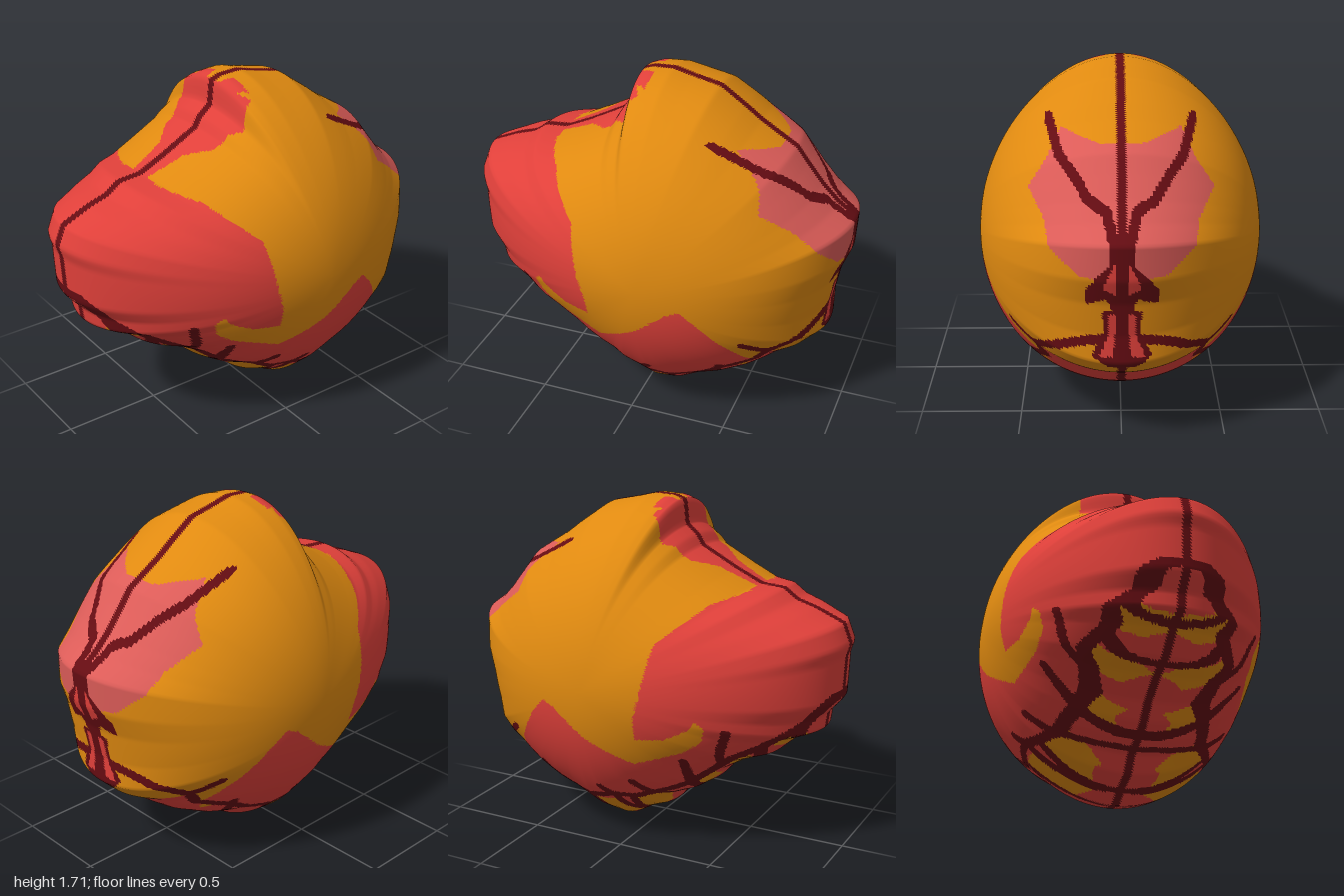
import * as THREE from 'three';

const DEPTH = 0.71, CX = 0.1, CY = 0.85, COLS = 420, ROWS = 160;

// Body outline in the x-y plane, clockwise from the left tip
const OUTLINE = [
  [-1, 1.06], [-0.96, 1.16], [-0.82, 1.22], [-0.72, 1.25], [-0.65, 1.3], [-0.53, 1.31], [-0.4, 1.37],
  [-0.21, 1.47], [-0.18, 1.52], [-0.12, 1.57], [-0.11, 1.69], [-0.06, 1.71], [0.05, 1.715], [0.15, 1.69],
  [0.29, 1.66], [0.42, 1.57], [0.5, 1.51], [0.68, 1.4], [0.74, 1.32], [0.82, 1.22], [0.9, 1.14], [1, 1.07],
  [0.99, 0.9], [0.94, 0.77], [0.91, 0.6], [0.91, 0.46], [0.83, 0.38], [0.75, 0.34], [0.68, 0.28],
  [0.6, 0.22], [0.47, 0.15], [0.35, 0.11], [0.22, 0.02], [0.1, 0], [0, 0.06], [-0.1, 0.1], [-0.16, 0.18],
  [-0.26, 0.22], [-0.35, 0.28], [-0.42, 0.36], [-0.55, 0.44], [-0.67, 0.48], [-0.78, 0.58], [-0.89, 0.62],
  [-0.9, 0.7], [-0.97, 0.78], [-0.98, 1],
];

// Patches and strokes seen along z (x, y)
const RED_FLANK = [
  [-0.54, 1.4], [-0.53, 1.3], [-0.43, 1.27], [-0.25, 1.11], [-0.23, 1], [-0.2, 0.85], [-0.17, 0.75], [-0.165, 0.64],
  [-0.3, 0.65], [-0.4, 0.7], [-0.45, 0.75], [-0.485, 0.72], [-0.46, 0.64], [-0.36, 0.57], [-0.13, 0.49],
  [0, 0.56], [0.1, 0.62], [0.25, 0.75], [0.32, 0.78], [0.4, 0.7], [0.55, 0.5], [0.61, 0.38], [0.69, 0.46],
  [0.82, 0.38], [0.75, 0.1], [0, -0.1], [-1.1, 0.2], [-1.1, 1.4],
];
const ORANGE_CELLS = [
  [[0.05, 0.22], [0.21, 0.2], [0.12, 0.04], [0.04, 0.05]],
  [[-0.18, 0.26], [-0.04, 0.23], [0, 0.08], [-0.11, 0.13]],
  [[-0.4, 0.39], [-0.32, 0.33], [-0.28, 0.24], [-0.38, 0.32]],
  [[-0.62, 0.55], [-0.5, 0.5], [-0.48, 0.41], [-0.6, 0.46]],
  [[-0.85, 0.68], [-0.7, 0.58], [-0.72, 0.54], [-0.86, 0.61]],
  [[0.42, 0.31], [0.46, 0.33], [0.41, 0.16], [0.36, 0.14]],
  [[0.53, 0.35], [0.6, 0.37], [0.56, 0.3]],
];
const FRONT_STROKES = [
  [[-0.97, 0.82], [-0.85, 0.69], [-0.68, 0.58], [-0.55, 0.52], [-0.4, 0.4], [-0.3, 0.33], [-0.18, 0.28], [-0.05, 0.25],
    [0.05, 0.26], [0.2, 0.22], [0.32, 0.24], [0.45, 0.33], [0.62, 0.38], [0.69, 0.47]],
  [[0.59, 0.55], [0.69, 0.47], [0.82, 0.52], [0.91, 0.59]],
  [[-0.57, 0.69], [-0.53, 0.6], [-0.48, 0.47]],
  [[-0.35, 0.51], [-0.31, 0.33], [-0.28, 0.23]],
  [[-0.08, 0.36], [-0.12, 0.28], [-0.2, 0.2]],
  [[0.1, 0.31], [0.05, 0.26], [0.02, 0.06]],
  [[-0.03, 0.22], [0.02, 0.06]],
  [[0.2, 0.22], [0.13, 0.02]],
  [[0.46, 0.36], [0.42, 0.25], [0.37, 0.14]],
  [[-0.67, 0.57], [-0.62, 0.47]],
  [[-0.85, 0.68], [-0.8, 0.58]],
];
// Patches and strokes on the right end (|z|, y)
const PINK_CAP = [
  [-0.1, 1.44], [0.1, 1.43], [0.28, 1.47], [0.31, 1.42], [0.34, 1.36], [0.43, 1.23], [0.35, 1.12], [0.33, 1.03],
  [0.2, 0.92], [-0.1, 0.87],
];
const BROW = [[0.34, 1.49], [0.29, 1.38], [0.22, 1.31], [0.15, 1.22], [0.07, 1.18], [0.03, 1.06]];
const DARK_CREST = [
  [-0.1, 1.1], [0.03, 1.1], [0.055, 1.05], [0.06, 0.97], [0.12, 0.91], [0.17, 0.84], [0.16, 0.77], [0.07, 0.8],
  [0.05, 0.74], [0.09, 0.73], [0.085, 0.62], [0.14, 0.5], [0.06, 0.43], [-0.1, 0.43],
];
const RED_CREST = [
  [[0.025, 1], [0.045, 0.96], [0.09, 0.86], [0.025, 0.82]],
  [[0.025, 0.72], [0.06, 0.72], [0.065, 0.6], [0.11, 0.49], [0.04, 0.5]],
];
// Patch around the notch on top (x, |z|)
const RED_NOTCH = [
  [-0.53, -0.1], [-0.53, 0.06], [-0.35, 0.1], [-0.25, 0.2], [-0.17, 0.22], [-0.12, 0.27], [-0.05, 0.24], [-0.08, 0.17],
  [-0.03, 0.2], [-0.03, 0.07], [-0.1, 0.05], [-0.1, -0.1],
];

function inside(poly, x, y) {
  let hit = false;
  poly.forEach(([ax, ay], i) => {
    const [bx, by] = poly[(i + 1) % poly.length];
    if ((ay > y) !== (by > y) && x < ax + ((y - ay) / (by - ay)) * (bx - ax)) hit = !hit;
  });
  return hit;
}

function onStroke(path, x, y, halfWidth) {
  for (let i = 0; i < path.length - 1; i++) {
    const [ax, ay] = path[i], dx = path[i + 1][0] - ax, dy = path[i + 1][1] - ay;
    const t = THREE.MathUtils.clamp(((x - ax) * dx + (y - ay) * dy) / (dx * dx + dy * dy), 0, 1);
    if (Math.hypot(x - ax - t * dx, y - ay - t * dy) < halfWidth) return true;
  }
  return false;
}

// Distance from the centre to the outline along one direction
function outlineRadius(angle) {
  const c = Math.cos(angle), s = Math.sin(angle);
  let best = 0;
  OUTLINE.forEach(([px, py], i) => {
    const q = OUTLINE[(i + 1) % OUTLINE.length];
    const ax = px - CX, ay = py - CY, dx = q[0] - px, dy = q[1] - py;
    const det = c * dy - s * dx;
    if (Math.abs(det) < 1e-9) return;
    const r = (ax * dy - ay * dx) / det, t = (ax * s - ay * c) / det;
    if (r > 0 && t >= -1e-6 && t <= 1 + 1e-6) best = Math.max(best, r);
  });
  return best;
}

// Colour index: 0 orange, 1 red, 2 pink, 3 dark red
function colourAt(x, y, z) {
  const d = Math.abs(z);
  if (d < 0.02) return 3;
  if (x > 0.3) {
    if (x > 0.8 && RED_CREST.some((p) => inside(p, d, y))) return 1;
    if (x > 0.8 && inside(DARK_CREST, d, y)) return 3;
    if (onStroke(BROW, d, y, 0.023)) return 3;
    if (inside(PINK_CAP, d, y)) return 2;
  }
  if (y < 0.85 && FRONT_STROKES.some((p) => onStroke(p, x, y, 0.019))) return 3;
  if (y < 0.85 && ORANGE_CELLS.some((p) => inside(p, x, y))) return 0;
  if (y > 1.25 && inside(RED_NOTCH, x, d)) return 1;
  return inside(RED_FLANK, x, y) ? 1 : 0;
}

// Inflated body: the rim follows the outline and softens towards the middle
function bodyGeometry() {
  const rim = [], soft = [];
  for (let j = 0; j < COLS; j++) rim.push(outlineRadius((j / COLS) * Math.PI * 2));
  for (let j = 0; j < COLS; j++) {
    let sum = 0, weight = 0;
    for (let k = -60; k <= 60; k++) {
      const w = Math.exp(-((k / 24) ** 2) / 2);
      sum += w * rim[(j + k + COLS) % COLS];
      weight += w;
    }
    soft.push(sum / weight);
  }
  const pos = [];
  for (let i = 0; i <= ROWS; i++) {
    const phi = (i / ROWS - 0.5) * Math.PI, s = Math.cos(phi);
    for (let j = 0; j < COLS; j++) {
      const a = (j / COLS) * Math.PI * 2;
      const r = s * (soft[j] + s ** 3 * (rim[j] - soft[j]));
      pos.push(CX + r * Math.cos(a), CY + r * Math.sin(a), DEPTH * Math.sin(phi));
    }
  }
  const faces = [[], [], [], []];
  const addFace = (...tri) => {
    const mid = [0, 1, 2].map((k) => tri.reduce((t, v) => t + pos[v * 3 + k], 0) / 3);
    faces[colourAt(...mid)].push(...tri);
  };
  for (let i = 0; i < ROWS; i++) {
    for (let j = 0; j < COLS; j++) {
      const n = (j + 1) % COLS, a = i * COLS + j, b = i * COLS + n, c = a + COLS, d = b + COLS;
      if (i > 0) addFace(a, b, d);
      if (i < ROWS - 1) addFace(a, d, c);
    }
  }
  const geo = new THREE.BufferGeometry();
  geo.setAttribute('position', new THREE.Float32BufferAttribute(pos, 3));
  geo.setIndex(faces.flat());
  let start = 0;
  faces.forEach((f, i) => {
    geo.addGroup(start, f.length, i);
    start += f.length;
  });
  geo.computeVertexNormals();
  return geo;
}

export function createModel() {
  const materials = Object.entries({ orange: 0xe08a10, red: 0xe0403a, pink: 0xdc5c58, darkRed: 0x640c12 }).map(
    ([name, color]) => Object.assign(new THREE.MeshStandardMaterial({ color }), { name }));
  const group = new THREE.Group();
  group.name = 'inflatedShape';
  const body = new THREE.Mesh(bodyGeometry(), materials);
  body.name = 'body';
  group.add(body);
  return group;
}
